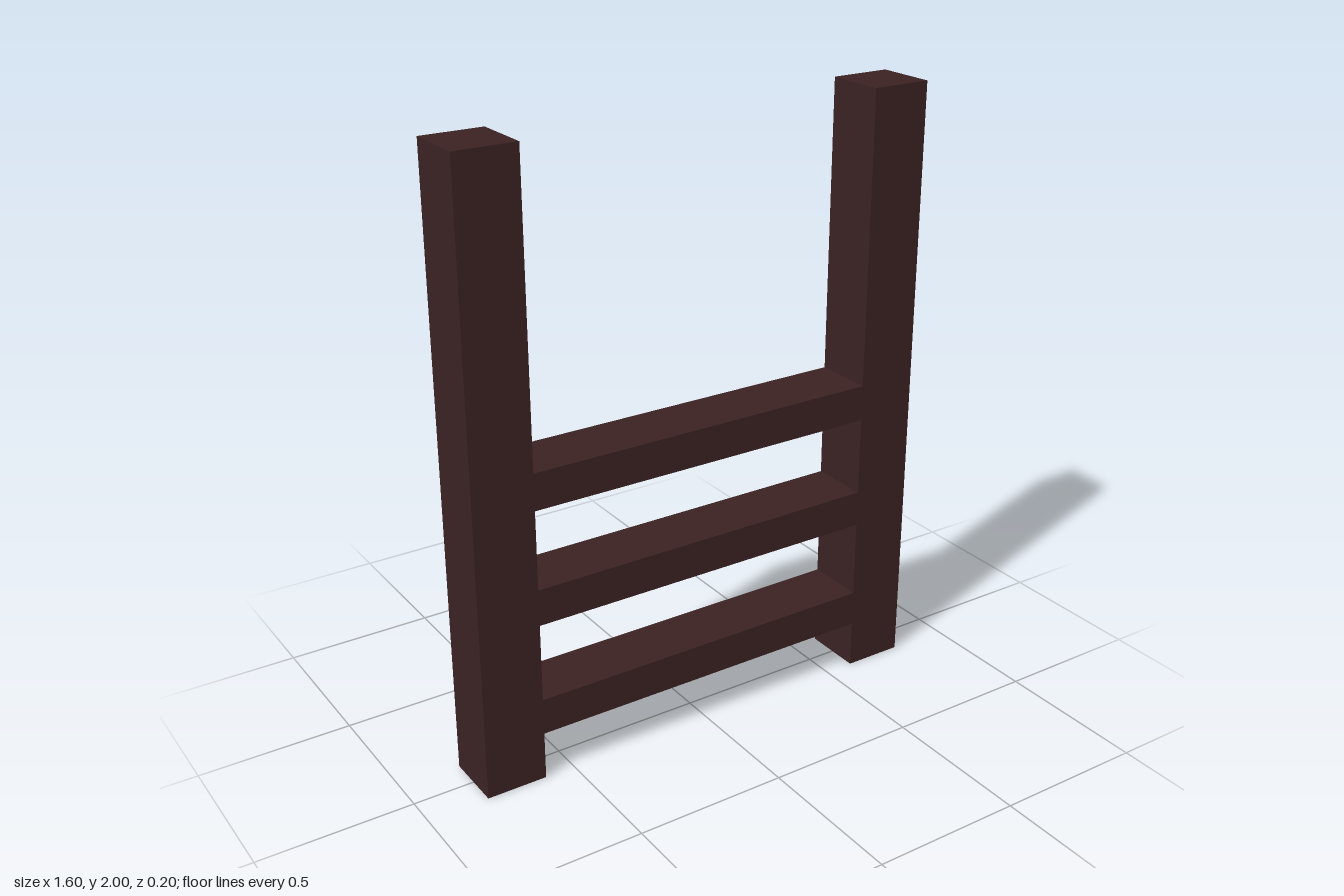
import * as THREE from 'three';

export function createModel() {
  const model = new THREE.Group();
  model.name = 'ladderFrame';
  const darkWood = new THREE.MeshStandardMaterial({ color: 0x3b2223 });
  darkWood.name = 'darkWood';

  const addBeam = (name, w, h, x, y) => {
    const beam = new THREE.Mesh(new THREE.BoxGeometry(w, h, 0.2), darkWood);
    beam.name = name;
    beam.position.set(x, y, 0);
    model.add(beam);
  };

  // Upright posts
  addBeam('leftPost', 0.2, 2, 0.7, 1);
  addBeam('rightPost', 0.2, 2, -0.7, 1);

  // Rungs span between the posts, flush with their front and back
  ['lowerRung', 'middleRung', 'upperRung'].forEach((name, i) => {
    addBeam(name, 1.2, 0.12, 0, 0.22 + i * 0.38);
  });

  return model;
}
